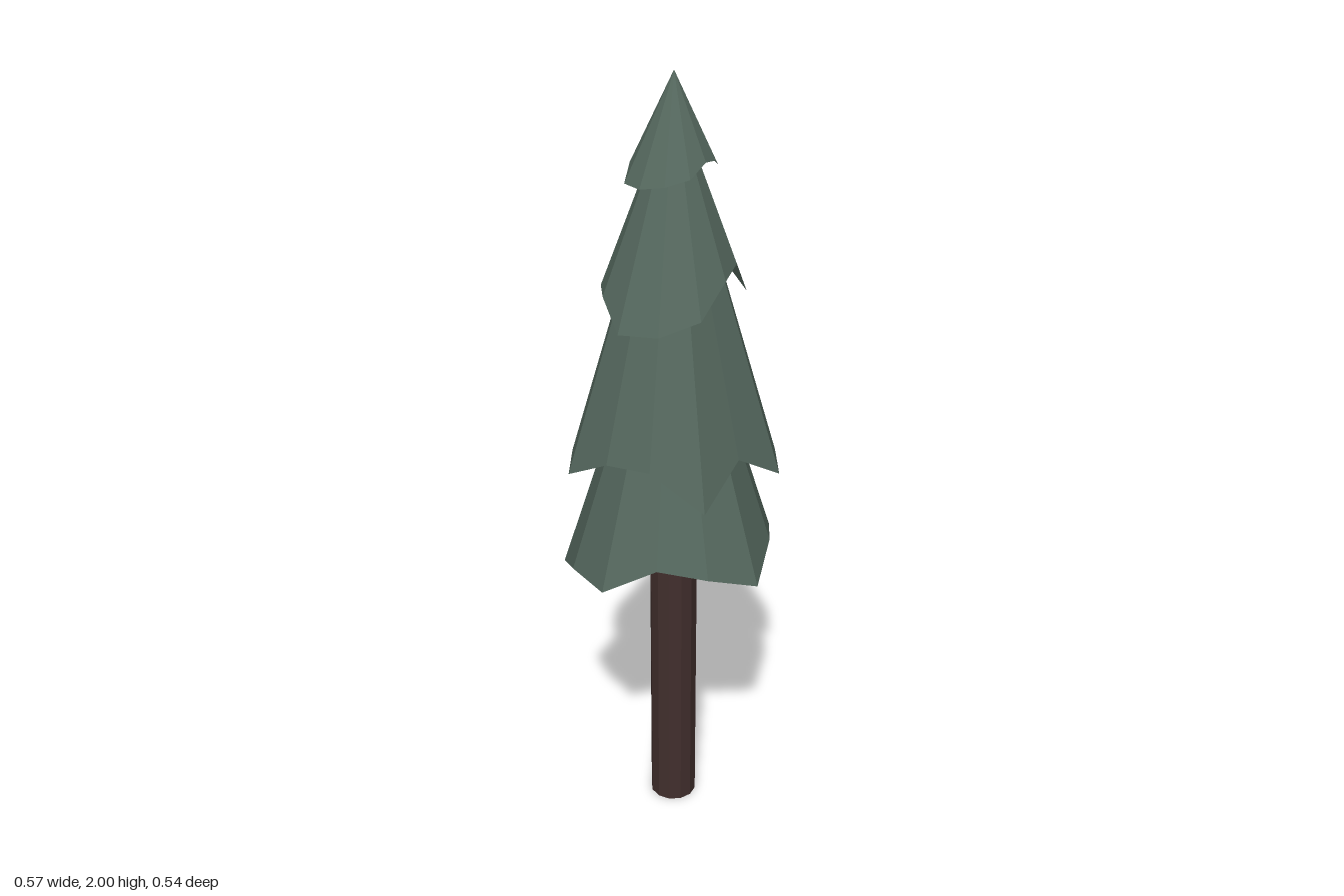
import * as THREE from 'three';

const SIDES = 12;
const CENTRE_X = 0.008;

// Each tier: apex height, twist in degrees, then rim radius and rim height
// every 30 degrees, counted from +x towards +z.
const TIERS = [
  {
    name: 'topTier', apex: 2.0, twist: 0,
    radii: [0.094, 0.108, 0.115, 0.12, 0.12, 0.103, 0.11, 0.113, 0.113, 0.09, 0.108, 0.097],
    rim: (r) => 2.0 - 2.05 * r,
  },
  {
    name: 'upperTier', apex: 1.95, twist: 0,
    radii: [0.157, 0.185, 0.197, 0.2, 0.177, 0.178, 0.186, 0.186, 0.188, 0.152, 0.188, 0.15],
    rim: (r) => 1.95 - 2.6 * r,
  },
  {
    name: 'middleTier', apex: 1.93, twist: 4.3,
    radii: [0.22, 0.277, 0.225, 0.23, 0.27, 0.268, 0.294, 0.267, 0.242, 0.265, 0.27, 0.271],
    heights: [1.11, 1.02, 1.105, 1.1, 1.03, 1.03, 0.98, 1.03, 0.92, 1.03, 1.03, 1.03],
  },
  {
    name: 'bottomTier', apex: 1.62, twist: 0,
    radii: [0.275, 0.25, 0.23, 0.273, 0.272, 0.294, 0.265, 0.25, 0.266, 0.27, 0.269, 0.25],
    heights: [0.77, 0.82, 0.84, 0.77, 0.77, 0.71, 0.77, 0.78, 0.75, 0.65, 0.8, 0.83],
  },
];

// Open cone of foliage with a ragged rim
function tierGeometry({ apex, twist, radii, heights, rim }) {
  const edge = radii.map((r, i) => {
    const a = THREE.MathUtils.degToRad(twist + (i * 360) / SIDES);
    return [r * Math.cos(a), heights ? heights[i] : rim(r), r * Math.sin(a)];
  });
  const positions = [];
  edge.forEach((p, i) => {
    positions.push(0, apex, 0, ...edge[(i + 1) % SIDES], ...p);
  });
  const geometry = new THREE.BufferGeometry();
  geometry.setAttribute('position', new THREE.Float32BufferAttribute(positions, 3));
  geometry.computeVertexNormals();
  return geometry;
}

export function createModel() {
  const tree = new THREE.Group();
  tree.name = 'pineTree';

  const needles = new THREE.MeshStandardMaterial({
    color: 0x55685e, flatShading: true, side: THREE.DoubleSide,
  });
  const bark = new THREE.MeshStandardMaterial({ color: 0x422f2d, flatShading: true });

  // Trunk, running up inside the foliage
  const trunk = new THREE.Mesh(new THREE.CylinderGeometry(0.062, 0.062, 1.1, SIDES), bark);
  trunk.name = 'trunk';
  trunk.position.set(CENTRE_X, 0.55, 0);
  tree.add(trunk);

  // Foliage tiers
  for (const tier of TIERS) {
    const mesh = new THREE.Mesh(tierGeometry(tier), needles);
    mesh.name = tier.name;
    mesh.position.x = CENTRE_X;
    tree.add(mesh);
  }
  return tree;
}
